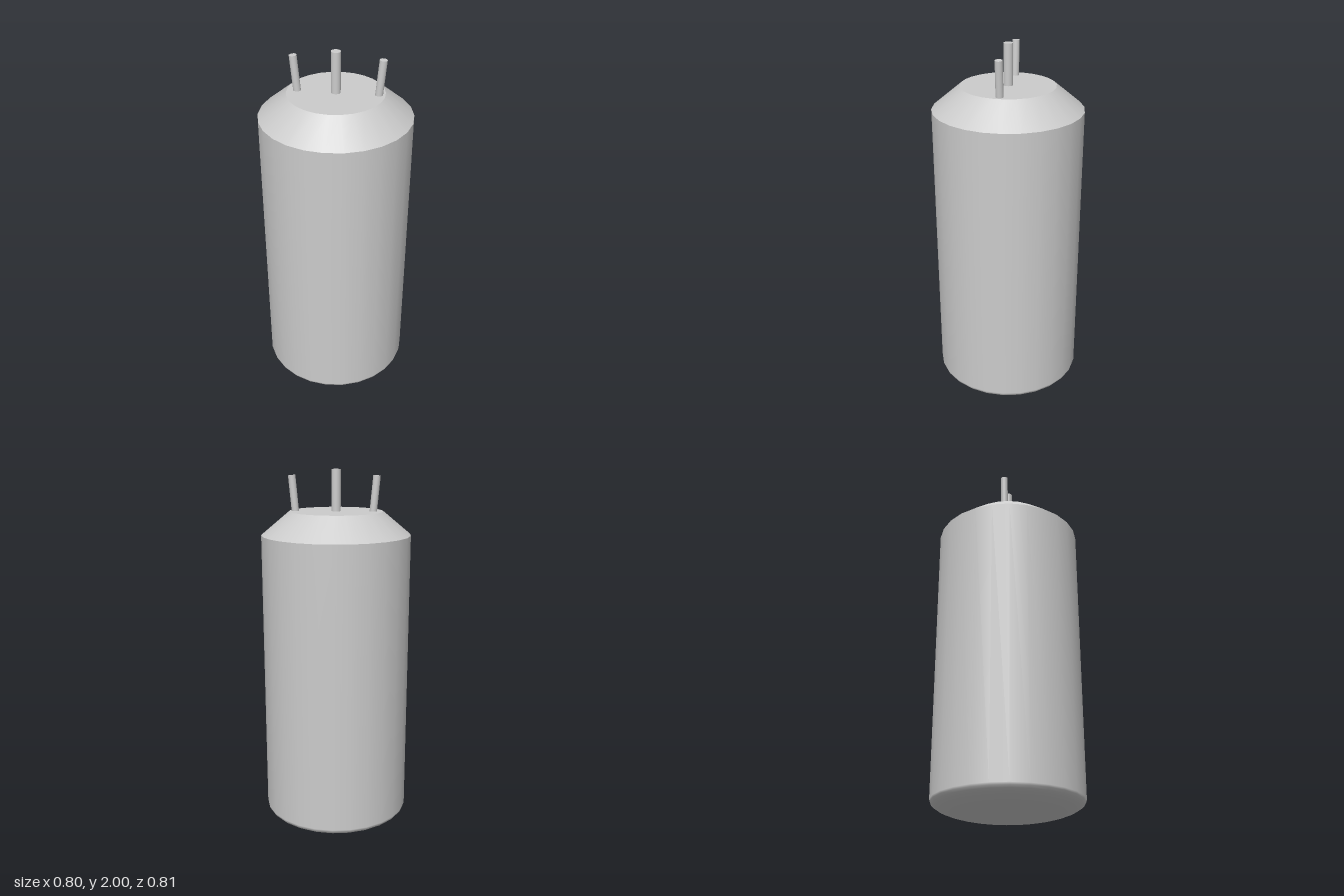
import * as THREE from 'three';

const SIDES = 26;
const RADIUS = 0.405;
const material = new THREE.MeshStandardMaterial({ color: 0xcccccc });

function addMesh(group, name, geometry) {
  const mesh = new THREE.Mesh(geometry, material);
  mesh.name = name;
  group.add(mesh);
  return mesh;
}

// Straight pin between two points on the z = 0 plane
function addPin(group, name, radius, x0, y0, x1, y1) {
  const dir = new THREE.Vector3(x1 - x0, y1 - y0, 0);
  const pin = addMesh(group, name, new THREE.CylinderGeometry(radius, radius, dir.length(), 20));
  pin.position.set((x0 + x1) / 2, (y0 + y1) / 2, 0);
  pin.quaternion.setFromUnitVectors(new THREE.Vector3(0, 1, 0), dir.normalize());
}

export function createModel() {
  const group = new THREE.Group();
  group.name = 'canister';
  const domeTop = 0.09, shoulderY = 1.655, lidY = 1.78, lidRadius = 0.254;

  // Body with a shallow elliptical base, smooth into the wall
  const profile = [];
  const steps = 12;
  for (let i = 0; i <= steps; i++) {
    const a = (i / steps) * Math.PI / 2;
    profile.push(new THREE.Vector2(RADIUS * Math.sin(a), domeTop * (1 - Math.cos(a))));
  }
  profile.push(new THREE.Vector2(RADIUS, shoulderY));
  addMesh(group, 'body', new THREE.LatheGeometry(profile, SIDES));

  // Sloped shoulder
  const shoulder = addMesh(group, 'shoulder',
    new THREE.CylinderGeometry(lidRadius, RADIUS, lidY - shoulderY, SIDES, 1, true));
  shoulder.position.y = (shoulderY + lidY) / 2;

  // Flat lid
  const lid = addMesh(group, 'lid', new THREE.CircleGeometry(lidRadius, SIDES));
  lid.rotation.set(-Math.PI / 2, 0, Math.PI / 2);
  lid.position.y = lidY;

  // Upright centre pin and two pins leaning outwards
  addPin(group, 'centrePin', 0.025, 0, lidY - 0.01, 0, 2);
  addPin(group, 'rightPin', 0.02, -0.199, lidY - 0.01, -0.217, 1.968);
  addPin(group, 'leftPin', 0.02, 0.219, lidY - 0.01, 0.237, 1.968);

  return group;
}
